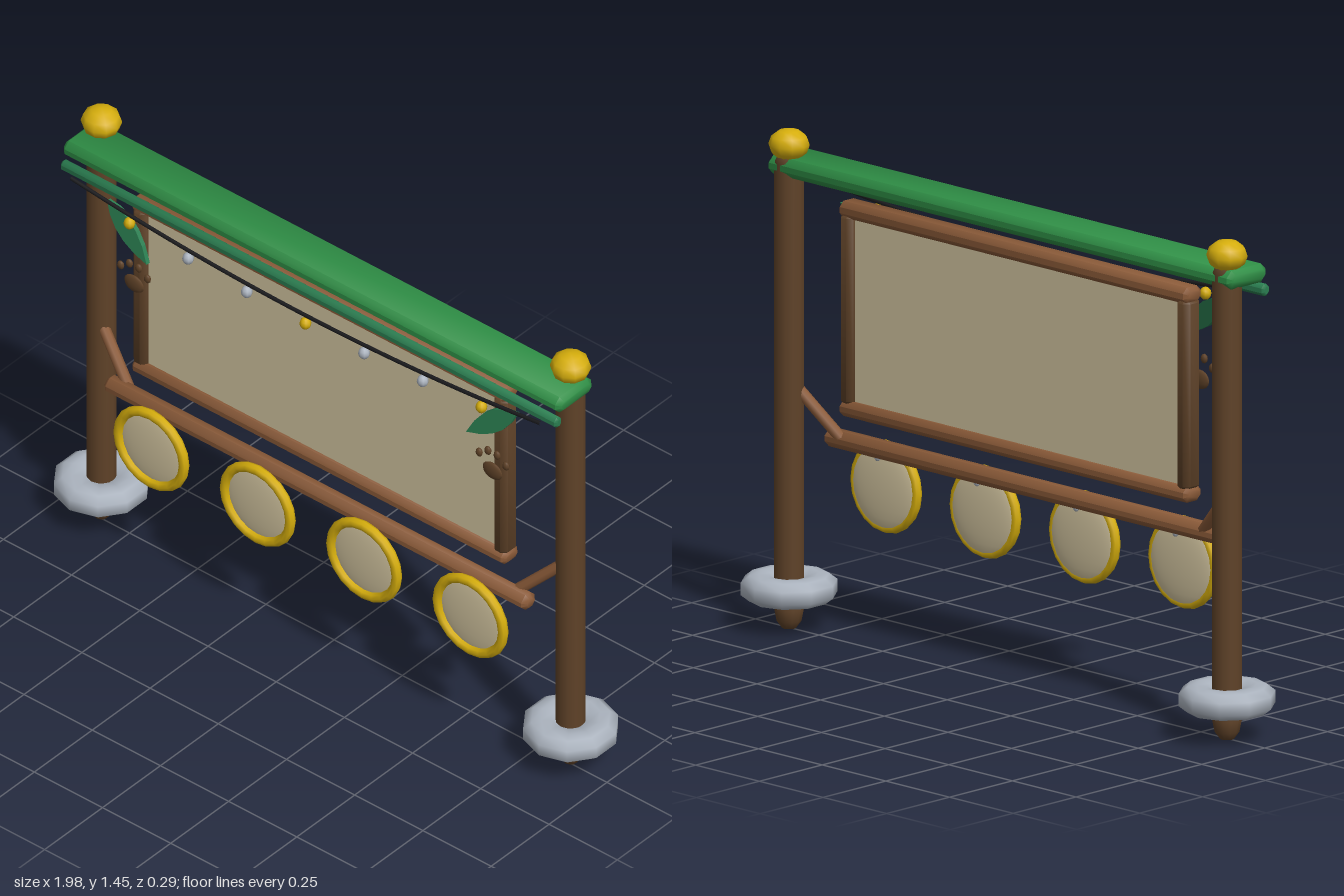
import * as THREE from 'three';
import { toCreasedNormals } from 'three/addons/utils/BufferGeometryUtils.js';

const mat = (name, color, side = THREE.FrontSide) => {
  const m = new THREE.MeshStandardMaterial({ color, side });
  m.name = name;
  return m;
};

export function createModel() {
  const root = new THREE.Group();
  root.name = 'noticeBoard';
  const darkWood = mat('darkWood', 0x5f4228);
  const lightWood = mat('lightWood', 0x8a5a38);
  const green = mat('roofGreen', 0x2f8f46);
  const leafGreen = mat('leafGreen', 0x2a7d50);
  const gold = mat('gold', 0xd6ae0c);
  const stone = mat('stoneGrey', 0xabb3be);
  const cream = mat('cream', 0xd3c5a0);
  const black = mat('cordBlack', 0x1b1b1e);

  const add = (name, geo, material, x = 0, y = 0, z = 0) => {
    const mesh = new THREE.Mesh(geo, material);
    mesh.name = name;
    mesh.position.set(x, y, z);
    root.add(mesh);
    return mesh;
  };
  const lathe = (pts, n) => new THREE.LatheGeometry(pts.map(p => new THREE.Vector2(...p)), n);
  const ellipsoid = (rx, ry, rz, w = 10, h = 8) => new THREE.SphereGeometry(1, w, h).scale(rx, ry, rz);

  // Bar along x with chamfered long edges and tapered ends
  const bar = (length, height, depth, c) => {
    const b = c * 0.6, h = height / 2 - b, d = depth / 2 - b, k = c * 0.5;
    const s = new THREE.Shape([[-d + k, -h], [d - k, -h], [d, -h + k], [d, h - k],
      [d - k, h], [-d + k, h], [-d, h - k], [-d, -h + k]].map(p => new THREE.Vector2(...p)));
    const g = new THREE.ExtrudeGeometry(s, {
      depth: length - 2 * b, bevelEnabled: true, bevelSize: b, bevelThickness: b, bevelSegments: 1,
    });
    g.translate(0, 0, -length / 2 + b).rotateY(Math.PI / 2);
    return toCreasedNormals(g, 0.9);
  };

  // Posts, footing stones and finials
  const POST_Z = -0.008;
  for (const s of [-1, 1]) {
    add('post', lathe([[0, 0.01], [0.02, 0.013], [0.036, 0.035], [0.043, 0.07],
      [0.043, 1.36], [0.03, 1.385], [0, 1.39]], 12), darkWood, s * 0.86, 0, POST_Z);
    add('footingStone', lathe([[0.04, 0.13], [0.06, 0.1], [0.085, 0.09], [0.113, 0.093], [0.137, 0.112],
      [0.137, 0.148], [0.113, 0.167], [0.085, 0.171], [0.055, 0.165], [0.03, 0.15]], 10),
    stone, s * 0.86, 0, POST_Z);
    add('finial', ellipsoid(0.059, 0.046, 0.058, 10, 6), gold, s * 0.86, 1.41, POST_Z);
  }

  // Roof beam and thin front rod
  add('roofBeam', bar(1.825, 0.054, 0.155, 0.022), green, 0, 1.349, 0.028);
  add('roofRod', bar(1.82, 0.034, 0.03, 0.012), leafGreen, 0, 1.297, 0.1);

  // Framed board
  add('board', new THREE.BoxGeometry(1.29, 0.56, 0.024), cream, 0, 0.965, 0.04);
  add('frameTop', bar(1.37, 0.048, 0.07, 0.018), lightWood, 0, 1.252, 0.04);
  add('frameBottom', bar(1.37, 0.046, 0.07, 0.018), lightWood, 0, 0.677, 0.04);
  for (const s of [-1, 1]) {
    add('frameSide', bar(0.55, 0.05, 0.066, 0.018).rotateZ(Math.PI / 2), darkWood, s * 0.661, 0.965, 0.04);
  }

  // Lower rail with diagonal braces
  add('lowerRail', bar(1.55, 0.052, 0.058, 0.022), lightWood, 0, 0.57, 0.062);
  for (const s of [-1, 1]) {
    const path = new THREE.LineCurve3(new THREE.Vector3(s * 0.85, 0.715, 0.005),
      new THREE.Vector3(s * 0.71, 0.575, 0.05));
    add('brace', new THREE.TubeGeometry(path, 1, 0.017, 8), lightWood);
  }

  // Hanging discs with gold rims
  for (const x of [-0.585, -0.195, 0.195, 0.585]) {
    add('disc', ellipsoid(0.126, 0.126, 0.016, 24, 12), cream, x, 0.452, 0.092);
    add('discRim', new THREE.TorusGeometry(0.12, 0.015, 8, 20), gold, x, 0.452, 0.1);
    add('discHook', ellipsoid(0.01, 0.014, 0.01, 8, 6), stone, x, 0.545, 0.066);
  }

  // Sagging cord with bulbs
  const cordY = x => 1.232 + 0.052 * (x / 0.86) ** 2;
  const cordPts = [];
  for (let i = -6; i <= 6; i++) cordPts.push(new THREE.Vector3(i * 0.86 / 6, cordY(i * 0.86 / 6), 0.122));
  add('cord', new THREE.TubeGeometry(new THREE.CatmullRomCurve3(cordPts), 32, 0.006, 6), black);
  for (let i = -3; i <= 3; i++) {
    const x = i * 0.215;
    add('bulb', ellipsoid(0.017, 0.019, 0.017, 8, 6), i % 3 ? stone : gold, x, cordY(x) - 0.026, 0.124);
  }

  // Corner leaves and paw prints, mirrored
  for (const s of [-1, 1]) {
    const leaf = new THREE.Shape();
    leaf.moveTo(s * 0.75, 1.245);
    leaf.quadraticCurveTo(s * 0.64, 1.245, s * 0.585, 1.115);
    leaf.quadraticCurveTo(s * 0.72, 1.145, s * 0.75, 1.245);
    const g = new THREE.ExtrudeGeometry(leaf, { depth: 0.014, bevelEnabled: false, curveSegments: 5 });
    const p = g.attributes.position;
    for (let i = 0; i < p.count; i++) p.setZ(i, p.getZ(i) + 0.083 + (1.245 - p.getY(i)) * 0.18);
    g.computeVertexNormals();
    add('leaf', g, leafGreen);

    add('pawPad', ellipsoid(0.036, 0.028, 0.009), darkWood, s * 0.657, 0.995, 0.09);
    for (const [dx, y] of [[-0.049, 1.036], [-0.017, 1.058], [0.017, 1.058], [0.049, 1.036]]) {
      add('pawToe', ellipsoid(0.012, 0.014, 0.008, 8, 6), darkWood, s * 0.657 + dx, y, 0.09);
    }
  }
  return root;
}
